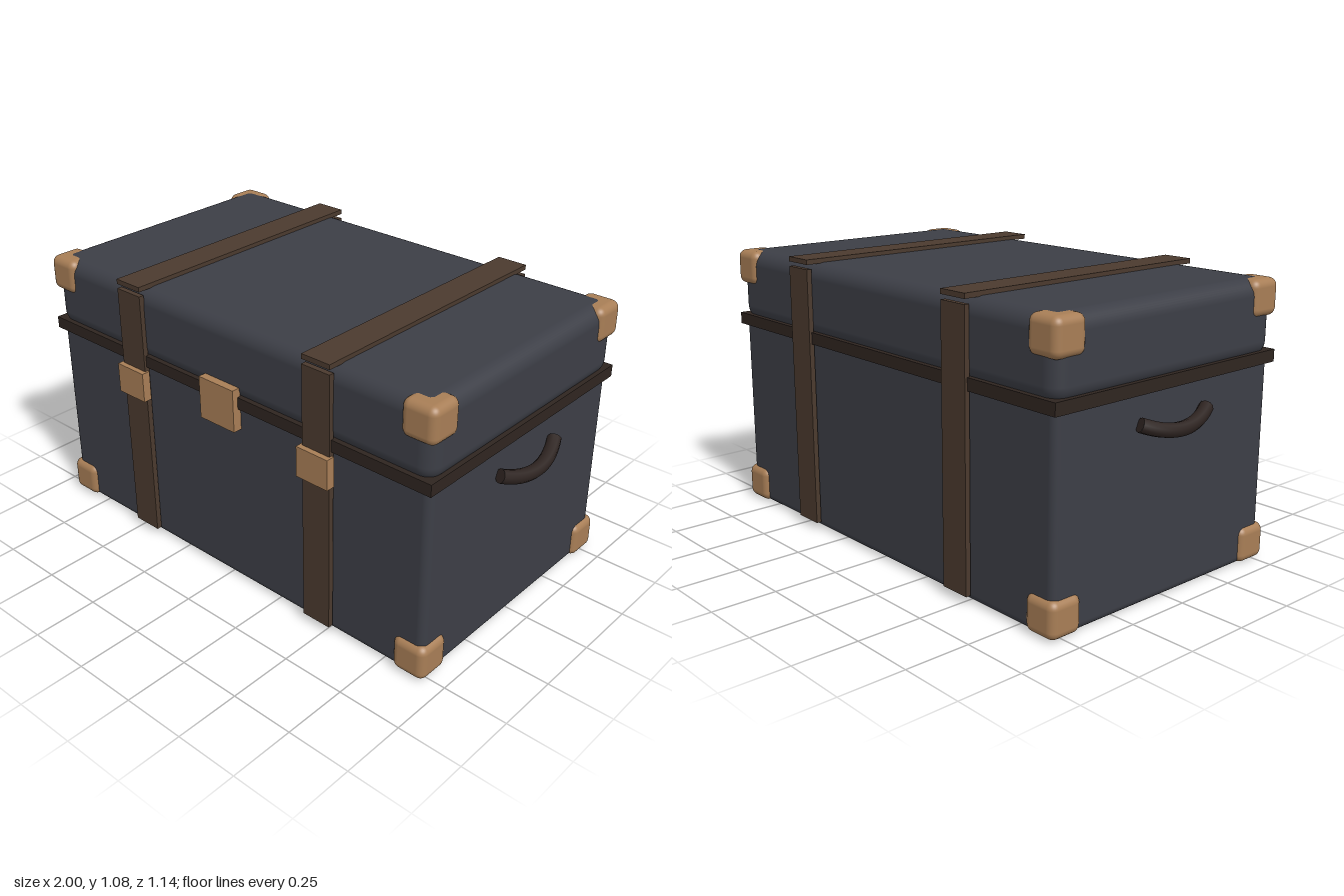
import * as THREE from 'three';
import { RoundedBoxGeometry } from 'three/addons/geometries/RoundedBoxGeometry.js';

const paint = (color) => new THREE.MeshStandardMaterial({ color });

export function createModel() {
  const trunk = new THREE.Group();
  trunk.name = 'trunk';
  const shell = paint(0x3c3e46), leather = paint(0x4b3a2e), trim = paint(0x2f2520);
  const brass = paint(0xa87e56), grip = paint(0x2d2320);
  const midZ = -0.008; // the case sits slightly back to balance the front hardware

  const add = (name, geometry, material, x, y, z, parent = trunk) => {
    const mesh = new THREE.Mesh(geometry, material);
    mesh.name = name;
    mesh.position.set(x, y, z);
    parent.add(mesh);
    return mesh;
  };
  // Box given by its extents along y and z, centred on x
  const slab = (name, material, x, width, y0, y1, z0, z1) =>
    add(name, new THREE.BoxGeometry(width, y1 - y0, z1 - z0), material, x, (y0 + y1) / 2, (z0 + z1) / 2);

  // Case, lid and the dark band covering the seam
  add('body', new RoundedBoxGeometry(1.836, 0.78, 1.064, 4, 0.03), shell, 0, 0.39, midZ);
  add('lid', new RoundedBoxGeometry(1.848, 0.288, 1.077, 5, 0.06), shell, 0, 0.919, midZ);
  slab('seamBand', trim, 0, 1.862, 0.754, 0.8, midZ - 0.5475, midZ + 0.5475);

  // Brass corner caps
  const cap = new RoundedBoxGeometry(0.137, 0.137, 0.137, 4, 0.03);
  for (const sx of [-1, 1]) {
    for (const sz of [-1, 1]) {
      add('lowerCorner', cap, brass, sx * 0.866, 0.072, midZ + sz * 0.481);
      add('upperCorner', cap, brass, sx * 0.866, 0.993, midZ + sz * 0.481);
    }
  }

  // Straps with front buckles
  for (const x of [-0.46, 0.46]) {
    slab('frontStrap', leather, x, 0.122, 0.027, 1.042, 0.528, 0.549);
    slab('backStrap', leather, x, 0.122, 0.027, 1.042, -0.566, -0.546);
    slab('topStrap', leather, x, 0.122, 1.06, 1.079, -0.566, 0.549);
    slab('buckle', brass, x, 0.14, 0.62, 0.738, 0.536, 0.57);
  }
  slab('lockPlate', brass, 0, 0.17, 0.668, 0.834, 0.526, 0.562);

  // Curved side handles, sagging outward and down
  const radius = 0.026;
  for (const s of [-1, 1]) {
    const handle = new THREE.Group();
    handle.name = s > 0 ? 'leftHandle' : 'rightHandle';
    handle.position.z = midZ;
    trunk.add(handle);
    const curve = new THREE.QuadraticBezierCurve3(
      new THREE.Vector3(s * 0.936, 0.657, -0.167),
      new THREE.Vector3(s * 1.012, 0.585, 0),
      new THREE.Vector3(s * 0.936, 0.657, 0.167));
    add('grip', new THREE.TubeGeometry(curve, 20, radius, 10), grip, 0, 0, 0, handle);
    for (const t of [0, 1]) {
      const p = curve.getPoint(t);
      const out = curve.getTangent(t).multiplyScalar(t ? 1 : -1);
      const end = add('gripEnd', new THREE.CircleGeometry(radius, 10), grip, p.x, p.y, p.z, handle);
      end.quaternion.setFromUnitVectors(new THREE.Vector3(0, 0, 1), out);
    }
  }
  return trunk;
}
